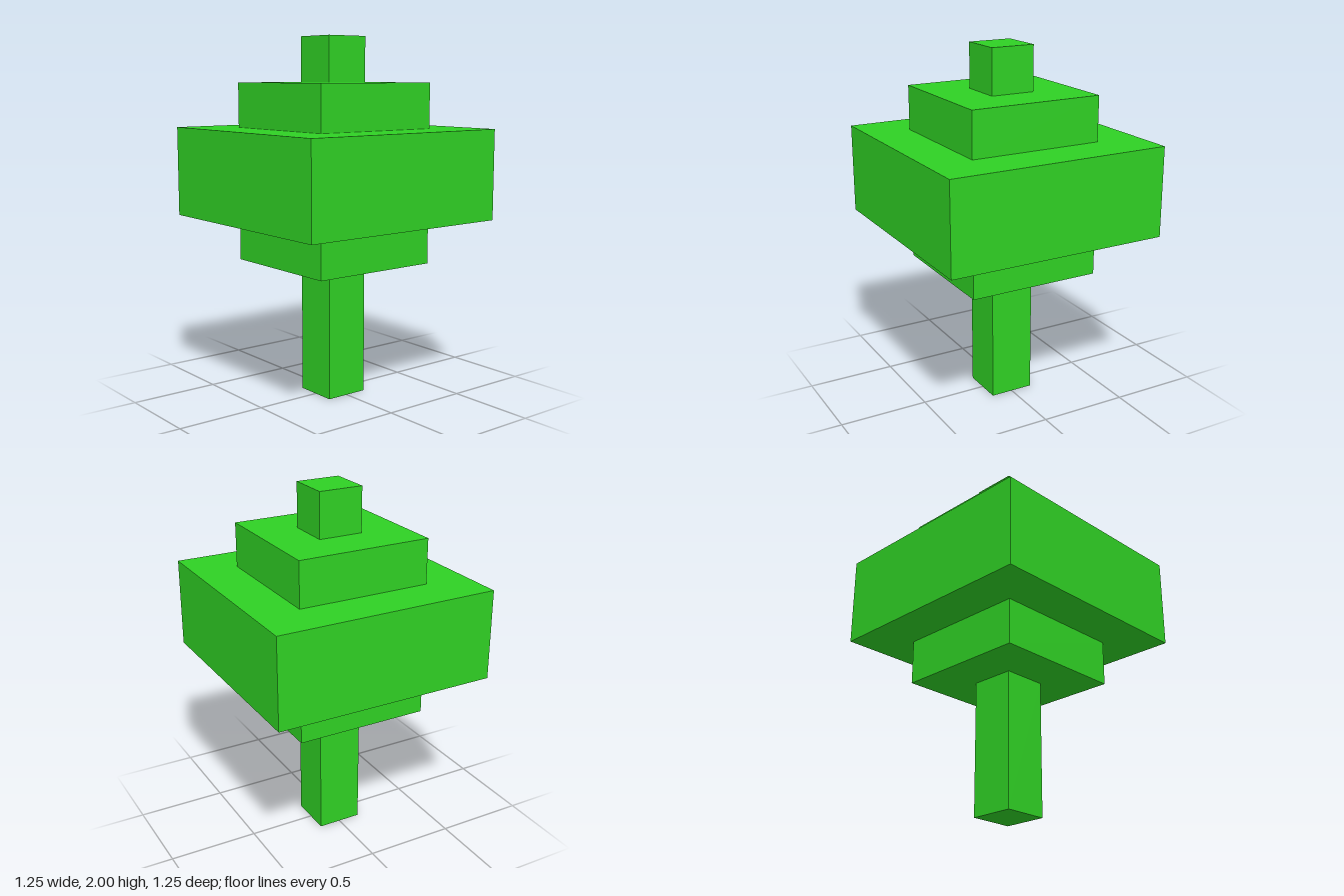
import * as THREE from 'three';

export function createModel() {
  const group = new THREE.Group();
  group.name = 'blockTree';
  const green = new THREE.MeshStandardMaterial({ color: 0x2fd024, flatShading: true });

  // Square tiers stacked from the ground up: name, width, bottom, top
  const tiers = [
    ['trunk', 0.25, 0, 0.75],
    ['lowerFoliage', 0.75, 0.75, 1],
    ['middleFoliage', 1.25, 1, 1.5],
    ['upperFoliage', 0.75, 1.5, 1.75],
    ['treeTip', 0.25, 1.75, 2],
  ];
  for (const [name, width, bottom, top] of tiers) {
    const tier = new THREE.Mesh(new THREE.BoxGeometry(width, top - bottom, width), green);
    tier.name = name;
    tier.position.y = (bottom + top) / 2;
    group.add(tier);
  }
  return group;
}
